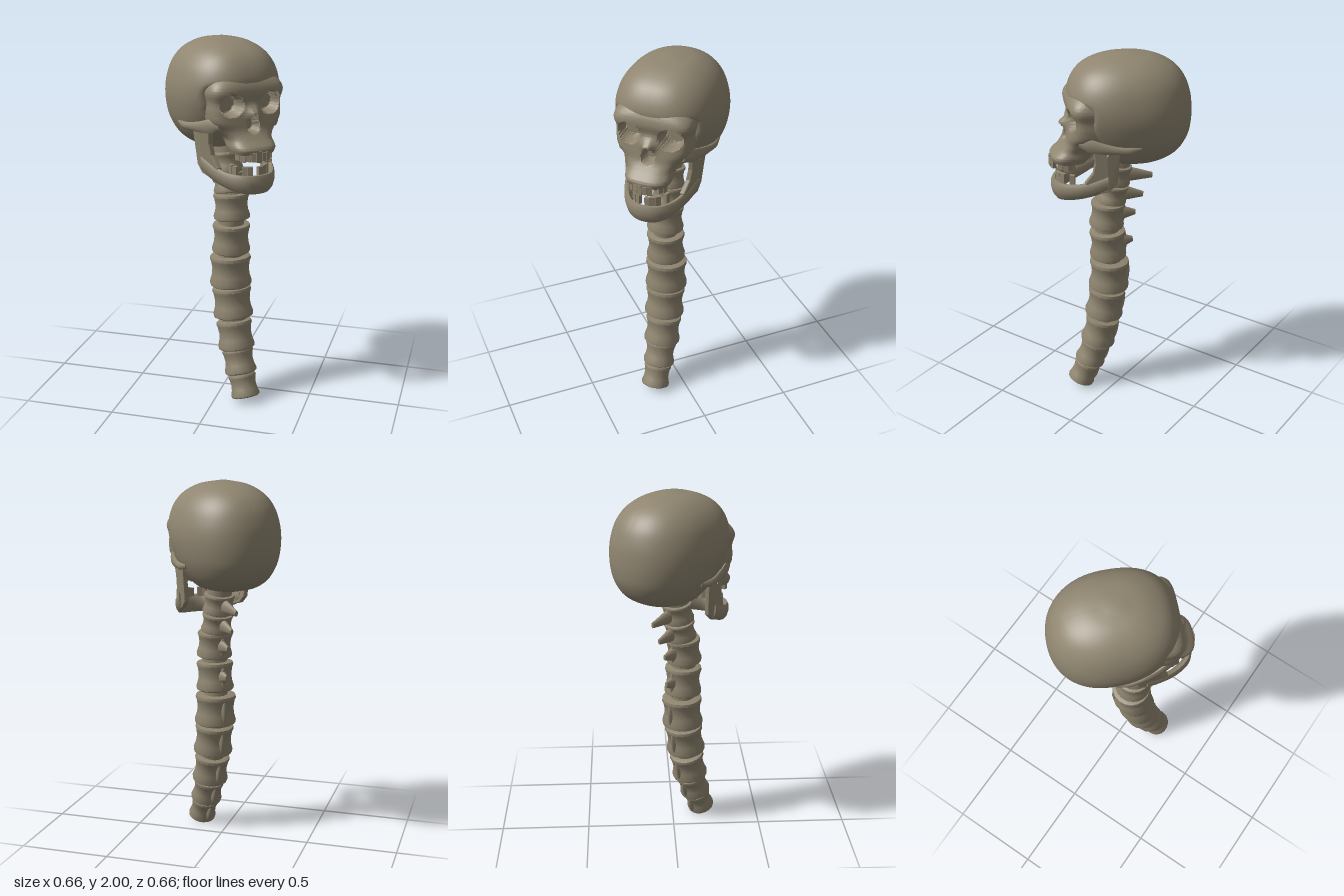
import * as THREE from 'three';
import { toCreasedNormals } from 'three/addons/utils/BufferGeometryUtils.js';

const bone = new THREE.MeshStandardMaterial({ color: 0x8f8570 });
bone.name = 'bone';

const V = (x, y, z) => new THREE.Vector3(x, y, z);
const smoothstep = THREE.MathUtils.smoothstep;

function add(group, name, geometry) {
  const mesh = new THREE.Mesh(geometry, bone);
  mesh.name = name;
  group.add(mesh);
  return mesh;
}

// Closed skin over a list of rings, capped at both ends, always facing outwards
function loft(rings, crease = 0.9) {
  const n = rings[0].length, pts = rings.flat(), faces = [];
  const middle = ring => ring.reduce((sum, p) => sum.add(p), V(0, 0, 0)).divideScalar(n);
  const first = pts.push(middle(rings[0])) - 1;
  const last = pts.push(middle(rings[rings.length - 1])) - 1;
  const top = (rings.length - 1) * n;
  for (let j = 0; j < n; j++) {
    const k = (j + 1) % n;
    faces.push([first, j, k], [last, top + k, top + j]);
    for (let i = 0; i < top; i += n) faces.push([i + j, i + n + j, i + k], [i + k, i + n + j, i + n + k]);
  }
  let volume = 0;
  for (const [a, b, c] of faces) volume += pts[a].dot(V(0, 0, 0).crossVectors(pts[b], pts[c]));
  if (volume < 0) faces.forEach(f => f.reverse());
  const geometry = new THREE.BufferGeometry().setFromPoints(pts);
  geometry.setIndex(faces.flat());
  return toCreasedNormals(geometry, crease);
}

// Horizontal rounded sections [y, back, front, halfWidth], smoothed upwards;
// power(y, isFront) sets how square they are, shape(point) adds detail
function sectionRings(sections, rows, sides, power, shape) {
  const size = new THREE.CatmullRomCurve3(sections.map(s => V(s[1], s[2], s[3])), false, 'catmullrom');
  const height = new THREE.CatmullRomCurve3(sections.map(s => V(0, s[0], 0)), false, 'catmullrom');
  return Array.from({ length: rows + 1 }, (_, i) => {
    const s = size.getPoint(i / rows), y = height.getPoint(i / rows).y;
    return Array.from({ length: sides }, (_, j) => {
      const a = (j + 0.5) / sides * Math.PI * 2, c = Math.cos(a), d = Math.sin(a), n = power(y, d > 0);
      const r = (Math.abs(c) ** n + Math.abs(d) ** n) ** (-1 / n);
      return shape(V(s.z * r * c, y, (s.x + s.y) / 2 + (s.y - s.x) / 2 * r * d));
    });
  });
}

// Nose bridge, eye sockets and nose opening
function carveFace(p) {
  if (p.z < 0.1) return p;
  const press = (r, floor) => {
    p.z += (Math.min(p.z, floor) - p.z) * (1 - smoothstep(r, 0.82, 1.04));
  };
  p.z += 0.045 * Math.exp(-((p.x / 0.034) ** 2) - ((p.y - 1.645) / 0.032) ** 2);
  press(Math.hypot((Math.abs(p.x) - 0.112) / 0.062, (p.y - 1.69) / 0.058), 0.2);
  const noseWidth = 0.034 * (1 - (p.y - 1.59) / 0.1);
  press(Math.hypot(p.x / Math.max(noseWidth, 0.008), (p.y - 1.595) / 0.052), 0.24);
  return p;
}

// Keeps the brain case behind the face, leaving a hollow at the temples
function recess(p) {
  const k = 1 - smoothstep(p.y, 1.75, 1.8);
  p.z += (Math.min(p.z, 0.175) - p.z) * k;
  return p;
}

function buildSkull() {
  const skull = new THREE.Group();
  skull.name = 'skull';
  const cranium = [
    [1.425, -0.16, 0.06, 0.09], [1.445, -0.235, 0.09, 0.15], [1.49, -0.305, 0.13, 0.2], [1.56, -0.348, 0.19, 0.242],
    [1.63, -0.364, 0.235, 0.265], [1.71, -0.366, 0.27, 0.277], [1.79, -0.356, 0.284, 0.27], [1.87, -0.326, 0.262, 0.243],
    [1.935, -0.268, 0.21, 0.193], [1.98, -0.175, 0.12, 0.12], [2, -0.06, 0.01, 0.03]];
  add(skull, 'cranium', loft(sectionRings(cranium, 56, 80, (y, front) => front ? 2.5 : 2.15, recess), 1.1));
  const face = [
    [1.445, 0.19, 0.372, 0.112], [1.475, 0.17, 0.378, 0.122], [1.515, 0.13, 0.338, 0.125], [1.555, 0.08, 0.308, 0.158],
    [1.6, 0.03, 0.296, 0.196], [1.65, 0, 0.287, 0.205], [1.7, 0, 0.284, 0.205], [1.755, 0, 0.294, 0.215],
    [1.81, 0, 0.274, 0.19], [1.87, 0, 0.215, 0.13]];
  const squareness = y => 2.7 + 1.8 * smoothstep(y, 1.52, 1.66) - 1.6 * smoothstep(y, 1.76, 1.84);
  add(skull, 'face', loft(sectionRings(face, 80, 150, squareness, carveFace), 1));

  // Cheek arches: x, y, z, half height
  const arch = [[0.165, 1.585, 0.25, 0.02], [0.193, 1.58, 0.2, 0.038], [0.218, 1.568, 0.13, 0.03],
    [0.234, 1.56, 0.06, 0.022], [0.243, 1.557, 0, 0.02], [0.235, 1.565, -0.06, 0.016]];
  for (const side of [-1, 1]) {
    const path = new THREE.CatmullRomCurve3(arch.map(([x, y, z]) => V(side * x, y, z)), false, 'catmullrom');
    const tall = new THREE.CatmullRomCurve3(arch.map(a => V(0, a[3], 0)), false, 'catmullrom');
    add(skull, 'cheekArch', loft(Array.from({ length: 17 }, (_, i) => {
      const p = path.getPoint(i / 16), h = tall.getPoint(i / 16).y;
      return Array.from({ length: 10 }, (_, j) => {
        const a = j / 10 * Math.PI * 2;
        return V(p.x + 0.014 * Math.cos(a), p.y + h * Math.sin(a), p.z);
      });
    })));
  }
  return skull;
}

// Separate teeth along a rounded arch
function addTeeth(group, name, y, height, width, centre, depth, missing) {
  for (let i = 0; i < 12; i++) {
    if (missing.includes(i)) continue;
    const a = (i + 0.5) / 12 * Math.PI;
    const h = height * (1 + 0.15 * Math.sin(i * 2.3));
    const tooth = add(group, name, new THREE.BoxGeometry(0.027, h, 0.02));
    tooth.position.set(width * Math.cos(a), y, centre + depth * Math.sin(a));
    tooth.rotation.y = Math.atan2(Math.cos(a) / width, Math.sin(a) / depth);
  }
}

function buildJaw() {
  const jaw = new THREE.Group();
  jaw.name = 'jaw';
  // Half of the jaw bow: x, z, bottom, top
  const half = [[0.185, 0.1, 1.32, 1.41], [0.165, 0.17, 1.285, 1.375], [0.13, 0.26, 1.255, 1.345], [0.075, 0.335, 1.237, 1.338]];
  const bow = [...half, [0, 0.358, 1.233, 1.338], ...half.slice().reverse().map(([x, ...rest]) => [-x, ...rest])];
  const path = new THREE.CatmullRomCurve3(bow.map(b => V(b[0], 0, b[1])), false, 'catmullrom');
  const edges = new THREE.CatmullRomCurve3(bow.map(b => V(b[2], b[3], 0)), false, 'catmullrom');
  const rings = Array.from({ length: 33 }, (_, i) => {
    const p = path.getPoint(i / 32), e = edges.getPoint(i / 32), t = path.getTangent(i / 32);
    return Array.from({ length: 10 }, (_, j) => {
      const a = j / 10 * Math.PI * 2, w = 0.021 * Math.cos(a) - 0.006 * Math.sin(a);
      return V(p.x - t.z * w, (e.x + e.y) / 2 + (e.y - e.x) / 2 * Math.sin(a), p.z + t.x * w);
    });
  });
  add(jaw, 'jawBow', loft(rings));

  // Upright jaw branches with two prongs
  const outline = [[0.06, 1.355], [0.1, 1.318], [0.18, 1.295], [0.215, 1.36], [0.175, 1.42], [0.165, 1.48],
    [0.175, 1.55], [0.145, 1.555], [0.11, 1.51], [0.085, 1.56], [0.042, 1.56], [0.052, 1.46]];
  const shape = new THREE.Shape(outline.map(([z, y]) => new THREE.Vector2(z, y)));
  for (const side of [-1, 1]) {
    const geometry = new THREE.ExtrudeGeometry(shape, { depth: 0.016, bevelSize: 0.005, bevelThickness: 0.006, bevelSegments: 2 });
    geometry.translate(0, 0, -0.008).rotateY(-Math.PI / 2);
    const pos = geometry.attributes.position;
    for (let i = 0; i < pos.count; i++) {
      const lean = 0.186 + (pos.getY(i) - 1.4) * 0.1 - Math.max(0, pos.getZ(i) - 0.1) * 0.25;
      pos.setX(i, pos.getX(i) + side * lean);
    }
    geometry.computeVertexNormals();
    add(jaw, 'jawBranch', geometry);
  }
  return jaw;
}

function buildSpine() {
  const spine = new THREE.Group();
  spine.name = 'spine';
  // Each vertebra: z, y, height, radius, length of the rear spike
  const bones = [[0.03, 1.335, 0.11, 0.088, 0.135], [0.05, 1.225, 0.105, 0.088, 0.105], [0.078, 1.1, 0.145, 0.1, 0.08],
    [0.076, 0.92, 0.165, 0.106, 0.06], [0.07, 0.73, 0.175, 0.117, 0], [0.092, 0.55, 0.172, 0.112, 0],
    [0.124, 0.365, 0.162, 0.103, 0], [0.168, 0.22, 0.14, 0.09, 0], [0.22, 0.09, 0.13, 0.08, 0]];
  const profile = [[0, -0.24], [0.55, -0.3], [0.74, -0.46], [0.88, -0.5], [0.98, -0.46], [1, -0.36], [0.9, -0.14],
    [0.87, 0.06], [0.92, 0.28], [0.98, 0.38], [0.95, 0.47], [0.78, 0.5], [0, 0.46]].map(([r, y]) => new THREE.Vector2(r, y));
  const body = toCreasedNormals(new THREE.LatheGeometry(profile, 18), 0.9);

  bones.forEach(([z, y, height, radius, spike], i) => {
    const above = bones[Math.max(i - 1, 0)], below = bones[Math.min(i + 1, bones.length - 1)];
    const vertebra = new THREE.Group();
    vertebra.name = 'vertebra';
    vertebra.position.set(0, y, z);
    vertebra.rotation.x = Math.atan2(above[0] - below[0], above[1] - below[1]);
    add(vertebra, 'vertebraBody', body).scale.set(radius, height, radius * 0.96);
    // Rear ridge, and a blunt spike on the upper ones
    const ridge = add(vertebra, 'rearRidge', new THREE.SphereGeometry(1, 8, 8));
    ridge.scale.set(0.014, height * 0.44, 0.02);
    ridge.position.z = -radius * 0.82;
    if (spike) {
      const horn = add(vertebra, 'rearSpike', new THREE.CylinderGeometry(0.016, 0.044, spike, 10));
      horn.scale.x = 0.55;
      horn.rotation.x = -Math.PI / 2 + 0.06;
      horn.position.set(0, 0.005, -radius * 0.75 - spike / 2);
    }
    spine.add(vertebra);
  });

  // Discs joining the vertebrae
  const path = new THREE.CatmullRomCurve3([V(0, 1.47, 0.01), ...bones.map(b => V(0, b[1], b[0]))]);
  add(spine, 'spineCore', new THREE.TubeGeometry(path, 40, 0.068, 14));
  return spine;
}

export function createModel() {
  const model = new THREE.Group();
  model.name = 'skullAndSpine';
  const figure = new THREE.Group();
  figure.name = 'figure';
  const skull = buildSkull(), jaw = buildJaw();
  addTeeth(skull, 'upperTooth', 1.436, 0.05, 0.1, 0.265, 0.112, [0, 3, 11]);
  addTeeth(jaw, 'lowerTooth', 1.352, 0.055, 0.1, 0.235, 0.108, [0, 2, 6, 9]);
  figure.add(skull, jaw, buildSpine());
  // The face looks along the diagonal
  figure.rotation.y = Math.PI / 4;
  model.add(figure);
  return model;
}
